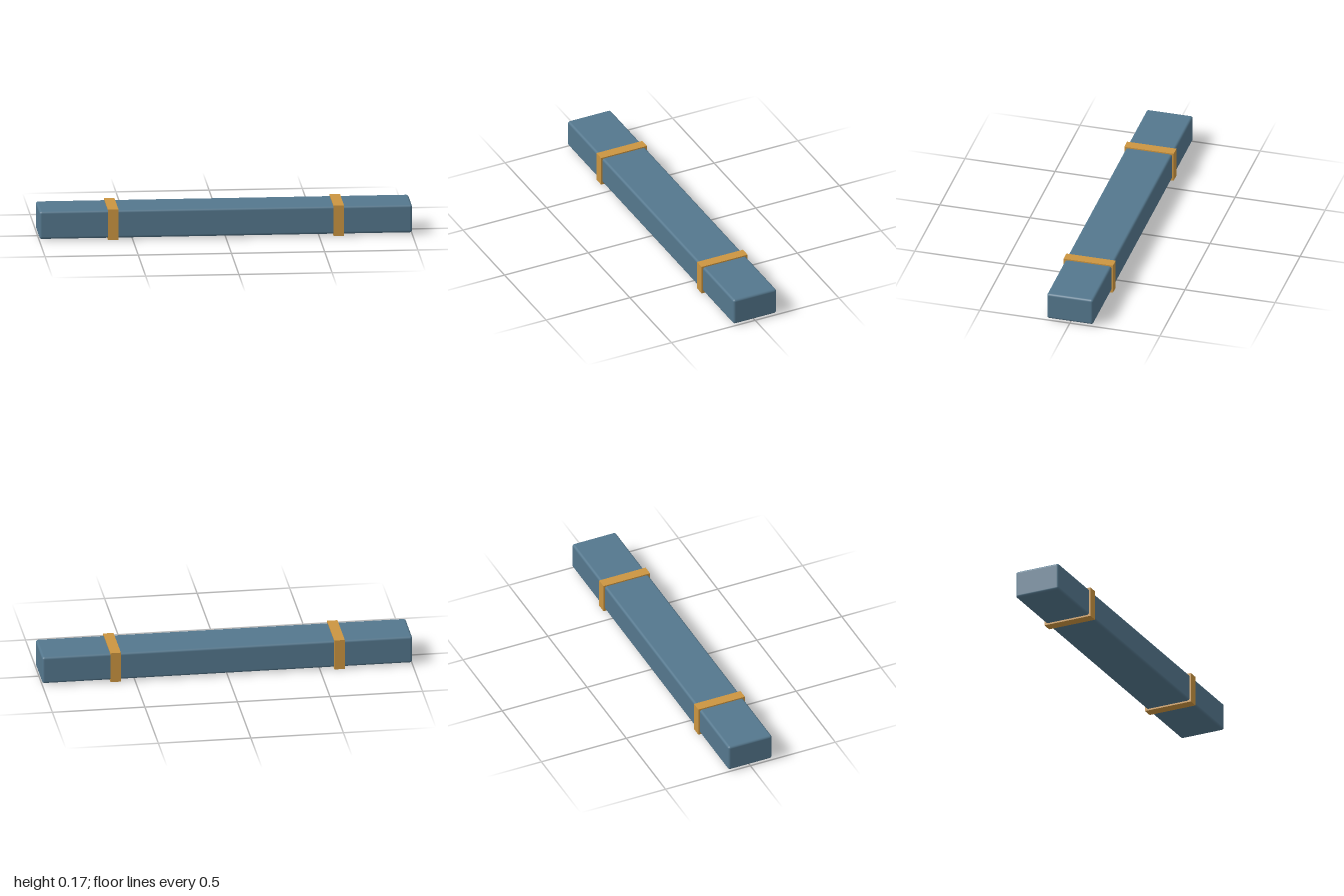
import * as THREE from 'three';
import { RoundedBoxGeometry } from 'three/addons/geometries/RoundedBoxGeometry.js';

const blue = new THREE.MeshStandardMaterial({ name: 'slate blue', color: 0x54778d });
const gold = new THREE.MeshStandardMaterial({ name: 'ochre', color: 0xcb9541 });

const MID_Y = 0.084;

// Corner points of a rectangle centred on the origin
function rectangle(w, h) {
  return [[-1, -1], [1, -1], [1, 1], [-1, 1]].map(([x, y]) => new THREE.Vector2(x * w / 2, y * h / 2));
}

export function createModel() {
  const model = new THREE.Group();
  model.name = 'strappedBeam';

  // Long block with softened edges
  const body = new THREE.Mesh(new RoundedBoxGeometry(2, 0.152, 0.257, 3, 0.013), blue);
  body.name = 'body';
  body.position.y = MID_Y + 0.001;
  model.add(body);

  // Square-cornered bands wrapped round the block, sunk slightly into it
  const width = 0.056;
  const section = new THREE.Shape(rectangle(0.274, 0.168));
  section.holes.push(new THREE.Path(rectangle(0.245, 0.14)));
  const bandGeometry = new THREE.ExtrudeGeometry(section, { depth: width, bevelEnabled: false });
  bandGeometry.translate(0, 0, -width / 2).rotateY(Math.PI / 2);

  for (const [name, side] of [['leftBand', 1], ['rightBand', -1]]) {
    const band = new THREE.Mesh(bandGeometry, gold);
    band.name = name;
    band.position.set(side * 0.605, MID_Y, 0);
    model.add(band);
  }
  return model;
}
